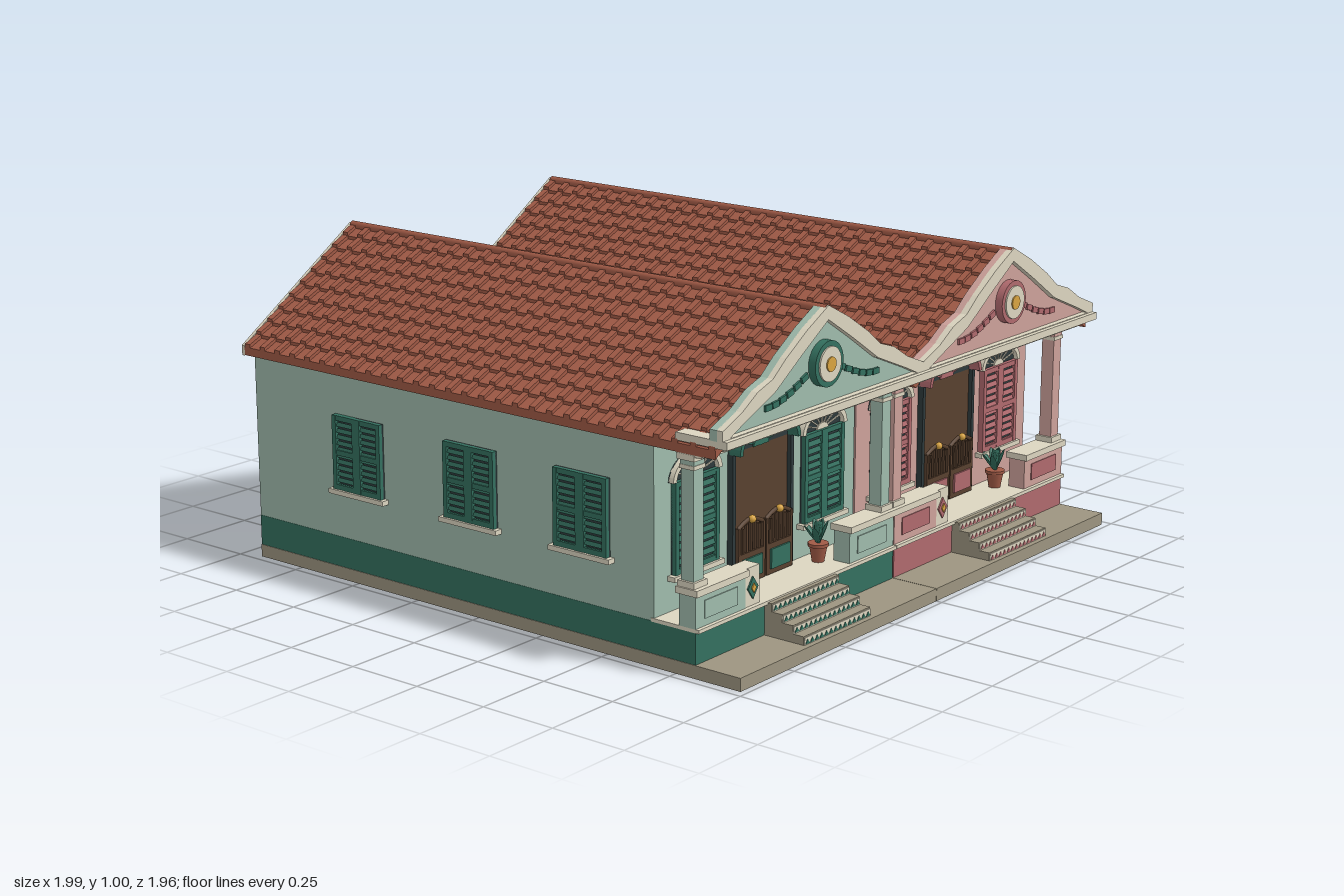
import * as THREE from 'three';

const mat = (name, color) => {
  const m = new THREE.MeshStandardMaterial({ color });
  m.name = name;
  return m;
};
const M = {
  cream: mat('cream trim', 0xdcd5c0), mint: mat('mint wall', 0x9fbbac), pink: mat('pink wall', 0xcda19a),
  green: mat('deep green', 0x34705f), rose: mat('rose', 0xb06a6e), tile: mat('terracotta', 0xa05a46),
  wood: mat('dark wood', 0x59412f), stone: mat('stone', 0x9d9580), gold: mat('gold', 0xd9a441), dark: mat('dark glass', 0x2e3a3c),
};

function add(parent, name, geometry, material, x = 0, y = 0, z = 0) {
  const m = new THREE.Mesh(geometry, material);
  m.name = name;
  m.position.set(x, y, z);
  parent.add(m);
  return m;
}
// box given by its ranges
function box(parent, name, material, x0, x1, y0, y1, z0, z1) {
  return add(parent, name, new THREE.BoxGeometry(x1 - x0, y1 - y0, z1 - z0), material,
    (x0 + x1) / 2, (y0 + y1) / 2, (z0 + z1) / 2);
}
function group(parent, name, x = 0, y = 0, z = 0) {
  const g = new THREE.Group();
  g.name = name;
  g.position.set(x, y, z);
  parent.add(g);
  return g;
}
const shapeOf = pts => new THREE.Shape(pts.map(p => new THREE.Vector2(p[0], p[1])));
const slab = (shape, depth, curveSegments = 16) =>
  new THREE.ExtrudeGeometry(shape, { depth, bevelEnabled: false, curveSegments });
// closed outline from a right-hand profile mirrored about x = 0
const mirrored = half => [...half, ...half.filter(p => p[0] > 0).reverse().map(p => [-p[0], p[1]])];
const disc = (parent, name, material, r, depth, x, y, z) => {
  const m = add(parent, name, new THREE.CylinderGeometry(r, r, depth, 28), material, x, y, z);
  m.rotation.x = Math.PI / 2;
  return m;
};

// half-elliptical fanlight with rim and radiating bars
function fanlight(parent, w, h, t, rimMat, barMat, x, y, z, depth) {
  const g = group(parent, 'fanlight', x, y, z);
  const half = (a, b) => {
    const s = new THREE.Shape();
    s.absellipse(0, 0, a, b, 0, Math.PI);
    s.closePath();
    return s;
  };
  add(g, 'fanlightGlass', slab(half(w, h), 0.005), M.dark);
  const rim = new THREE.Shape();
  rim.absellipse(0, 0, w, h, 0, Math.PI);
  rim.lineTo(-(w - t), 0);
  rim.absellipse(0, 0, w - t, h - t, Math.PI, 0, true);
  rim.closePath();
  add(g, 'fanlightRim', slab(rim, depth), rimMat);
  add(g, 'fanlightHub', slab(half(w * 0.25, h * 0.25), 0.01), barMat);
  for (let i = 1; i < 8; i++) {
    const a = Math.PI * i / 8, px = Math.cos(a) * (w - t), py = Math.sin(a) * (h - t);
    const bar = add(g, 'fanlightBar', new THREE.BoxGeometry(Math.hypot(px, py), 0.004, 0.009), barMat, px / 2, py / 2, 0.004);
    bar.rotation.z = Math.atan2(py, px);
  }
}

// pair of louvred shutters facing +z, standing on a sill
function shutters(parent, color, x, y0, y1, z, turn = 0) {
  const g = group(parent, 'shutterWindow', x, 0, z);
  g.rotation.y = turn;
  box(g, 'shutterBack', M.dark, -0.1, 0.1, y0, y1, -0.005, 0.006);
  box(g, 'sill', M.cream, -0.115, 0.115, y0 - 0.015, y0, -0.005, 0.026);
  for (const s of [-1, 1]) {
    const leaf = group(g, 'shutterLeaf', s * 0.05);
    for (const e of [-1, 1]) box(leaf, 'stile', color, e * 0.042 - 0.008, e * 0.042 + 0.008, y0, y1, 0, 0.019);
    for (const y of [y0, (y0 + y1) / 2 - 0.008, y1 - 0.016]) box(leaf, 'rail', color, -0.036, 0.036, y, y + 0.016, 0, 0.018);
    const n = 12, step = (y1 - y0) / n;
    for (let i = 0; i < n; i++) {
      const slat = add(leaf, 'slat', new THREE.BoxGeometry(0.07, step * 0.68, 0.004), color, 0, y0 + (i + 0.5) * step, 0.011);
      slat.rotation.x = -0.35;
    }
  }
}

// stepped tile courses: a half profile from ridge to eave
function tileProfile(lift, thick) {
  const n = 10, W = 0.487, top = 0.985, drop = 0.315, pts = [[0, top + lift]];
  for (let i = 1; i <= n; i++) {
    const x = W * i / n, y = top - drop * i / n + lift;
    pts.push([x, y + 0.008]);
    if (i < n) pts.push([x, y - 0.002]);
  }
  pts.push([W, top - drop - thick], [0, top - thick]);
  return shapeOf(pts);
}

function roof(house) {
  const g = group(house, 'roof');
  for (const s of [1, -1]) {
    const side = group(g, 'roofSlope');
    if (s < 0) side.rotation.y = Math.PI;
    // turning a slope around reverses z, so its start is flipped
    const place = (z0, z1) => (s > 0 ? z0 : -z1);
    add(side, 'tileBed', slab(tileProfile(0, 0.018), 1.86), M.tile, 0, 0, place(-0.97, 0.89));
    const rib = slab(tileProfile(0.011, 0.005), 0.022);
    for (let i = 0; i < 29; i++) {
      const z = -0.967 + i * 0.0655;
      add(side, 'tileRib', rib, M.tile, 0, 0, place(z, z + 0.022));
    }
    add(side, 'rakeTrim', slab(shapeOf([[0, 0.995], [0.487, 0.682], [0.487, 0.65], [0, 0.963]]), 0.012), M.cream, 0, 0, place(-0.982, -0.97));
  }
  const cap = add(g, 'ridgeCap', new THREE.CylinderGeometry(0.014, 0.014, 1.88, 10), M.tile, 0, 0.987, -0.03);
  cap.rotation.x = Math.PI / 2;
  add(g, 'gable', slab(shapeOf([[-0.484, 0.655], [0.484, 0.655], [0, 0.975]]), 1.795), M.tile, 0, 0, -0.935);
}

function pediment(house, wall, accent) {
  const g = group(house, 'pediment');
  const outer = mirrored([[0.487, 0.705], [0.487, 0.737], [0.4, 0.772], [0.33, 0.815], [0.26, 0.838], [0.2, 0.885], [0.1, 0.948], [0, 1]]);
  const inner = mirrored([[0.455, 0.71], [0.4, 0.735], [0.25, 0.797], [0.12, 0.883], [0, 0.958]]);
  add(g, 'pedimentPanel', slab(shapeOf(outer), 0.025), wall, 0, 0, 0.87);
  const border = shapeOf(outer);
  border.holes.push(new THREE.Path(inner.map(p => new THREE.Vector2(p[0], p[1]))));
  add(g, 'pedimentBorder', slab(border, 0.022), M.cream, 0, 0, 0.893);
  disc(g, 'medallionRing', accent, 0.068, 0.03, 0, 0.83, 0.905);
  disc(g, 'medallionDisc', M.cream, 0.052, 0.03, 0, 0.83, 0.91);
  disc(g, 'medallionCentre', M.gold, 0.022, 0.03, 0, 0.83, 0.914);
  // leafy garland on either side
  for (const s of [-1, 1]) for (let i = 0; i < 6; i++) {
    const t = i / 5, leaf = box(g, 'garlandLeaf', accent, -0.015, 0.015, -0.009, 0.009, 0.893, 0.902);
    leaf.position.x = s * (0.09 + 0.17 * t);
    leaf.position.y = 0.803 - 0.05 * Math.sin(t * Math.PI / 2);
    leaf.rotation.z = -s * 0.4 * (1 - t);
  }
  // cornice bands
  box(g, 'cornice', M.cream, -0.487, 0.487, 0.685, 0.708, 0.75, 0.93);
  box(g, 'tileBand', M.tile, -0.48, 0.48, 0.662, 0.685, 0.75, 0.875);
  box(g, 'architrave', M.cream, -0.485, 0.485, 0.645, 0.662, 0.752, 0.84);
  for (let i = 0; i < 32; i++) {
    const x = -0.465 + i * 0.03;
    box(g, 'dentil', M.cream, x - 0.007, x + 0.007, 0.664, 0.674, 0.87, 0.885);
  }
  box(g, 'porchCeiling', M.cream, -0.484, 0.484, 0.655, 0.668, 0.66, 0.87);
}

function door(house, accent) {
  const g = group(house, 'frontDoor');
  box(g, 'doorway', M.wood, -0.14, 0.14, 0.14, 0.55, 0.66, 0.676);
  for (const s of [-1, 1]) box(g, 'doorJamb', M.dark, s * 0.14 - 0.007, s * 0.14 + 0.007, 0.14, 0.55, 0.66, 0.69);
  fanlight(g, 0.147, 0.095, 0.014, accent, accent, 0, 0.55, 0.671, 0.045);
  for (const s of [-1, 1]) {
    const leaf = group(g, 'swingGate', s * 0.067);
    box(leaf, 'gatePanel', M.wood, -0.064, 0.064, 0.15, 0.245, 0.685, 0.7);
    box(leaf, 'gateInset', accent, -0.046, 0.046, 0.167, 0.228, 0.7, 0.706);
    for (const e of [-1, 1]) box(leaf, 'gateStile', M.wood, e * 0.059 - 0.005, e * 0.059 + 0.005, 0.245, 0.325, 0.685, 0.7);
    for (let i = -2; i <= 2; i++) box(leaf, 'gateBaluster', M.wood, i * 0.02 - 0.004, i * 0.02 + 0.004, 0.245, 0.336 - 0.004 * i * i, 0.688, 0.698);
    const arch = new THREE.CatmullRomCurve3([[-0.06, 0.322], [-0.03, 0.336], [0, 0.343], [0.03, 0.336], [0.06, 0.322]]
      .map(p => new THREE.Vector3(p[0], p[1], 0.693)));
    add(leaf, 'gateTopRail', new THREE.TubeGeometry(arch, 12, 0.007, 6), M.wood);
    add(leaf, 'gateKnob', new THREE.SphereGeometry(0.012, 12, 8), M.gold, 0, 0.343, 0.7);
  }
}

function porch(house, wall, accent) {
  const g = group(house, 'porch');
  box(g, 'porchFloor', M.cream, -0.485, 0.485, 0.135, 0.146, 0.66, 0.832);
  for (const s of [-1, 1]) {
    const a = s * 0.37;
    box(g, 'lowWall', wall, a - 0.115, a + 0.115, 0.146, 0.242, 0.762, 0.82);
    box(g, 'lowWallInset', accent === M.green ? M.mint : M.rose, a - 0.075, a + 0.075, 0.168, 0.222, 0.82, 0.823);
    box(g, 'coping', M.cream, a - 0.12, a + 0.12, 0.242, 0.262, 0.752, 0.83);
    const c = group(g, 'column', s * 0.455, 0, 0.785);
    for (const [name, w, y0, y1, m] of [['columnBase', 0.03, 0.262, 0.28, M.cream], ['columnShaft', 0.022, 0.28, 0.605, wall],
      ['columnNeck', 0.026, 0.605, 0.617, M.cream], ['columnBlock', 0.024, 0.617, 0.632, wall], ['columnCapital', 0.031, 0.632, 0.65, M.cream]])
      box(c, name, m, -w, w, y0, y1, -w, w);
  }
  // decorated tile panel at the end of the left low wall
  box(g, 'tilePanel', M.cream, -0.26, -0.187, 0.146, 0.262, 0.765, 0.818);
  for (const [name, m, r, z] of [['tileDiamond', accent, 0.024, 0.818], ['tileHeart', M.gold, 0.01, 0.822]])
    add(g, name, slab(shapeOf([[-r, 0], [0, -r * 1.4], [r, 0], [0, r * 1.4]]), 0.005), m, -0.222, 0.2, z);
  // entrance steps with tiled risers
  const tri = slab(shapeOf([[-0.01, -0.007], [0.01, -0.007], [0, 0.007]]), 0.003);
  for (let i = 0; i < 4; i++) {
    const y1 = 0.066 + 0.025 * i, z1 = 0.96 - 0.038 * i, y0 = i ? y1 - 0.025 : 0.037;
    box(g, 'step', M.stone, -0.165, 0.165, y0, y1, 0.81, z1);
    box(g, 'stepRiser', M.cream, -0.163, 0.163, y0, y1 - 0.004, z1, z1 + 0.003);
    for (let k = 0; k < 14; k++) add(g, 'riserTile', tri, accent, -0.15 + k * 0.0231, (y0 + y1) / 2 - 0.002, z1 + 0.002);
  }
  // potted plant
  const p = group(g, 'pottedPlant', 0.22, 0.146, 0.73);
  add(p, 'pot', new THREE.CylinderGeometry(0.028, 0.019, 0.05, 14), M.tile, 0, 0.025, 0);
  add(p, 'potRim', new THREE.CylinderGeometry(0.032, 0.032, 0.01, 14), M.tile, 0, 0.053, 0);
  for (let i = 0; i < 10; i++) {
    const stem = group(p, 'leafStem', 0, 0.055, 0);
    stem.rotation.set(0, i * 2.4, 0.15 + (i % 3) * 0.25);
    const leaf = add(stem, 'leaf', new THREE.SphereGeometry(1, 8, 6), M.green, 0, 0.037, 0);
    leaf.scale.set(0.004, 0.04, 0.011);
  }
}

function backDoor(house) {
  const g = group(house, 'backDoor', 0, 0, -0.93);
  g.rotation.y = Math.PI;
  box(g, 'backDoorFrame', M.wood, -0.1, 0.1, 0.14, 0.54, -0.005, 0.014);
  for (const s of [-1, 1]) {
    box(g, 'backDoorJamb', M.dark, s * 0.095 - 0.009, s * 0.095 + 0.009, 0.14, 0.54, 0, 0.026);
    for (const [y0, y1] of [[0.16, 0.31], [0.36, 0.515]])
      box(g, 'backDoorPanel', M.rose, s * 0.043 - 0.032, s * 0.043 + 0.032, y0, y1, 0.01, 0.02);
  }
  box(g, 'backDoorLintel', M.dark, -0.104, 0.104, 0.53, 0.545, 0, 0.026);
  add(g, 'backDoorKnob', new THREE.SphereGeometry(0.009, 10, 8), M.gold, 0.012, 0.335, 0.022);
}

function house(root, side, wall, accent, windowZs) {
  const g = group(root, side < 0 ? 'greenHouse' : 'pinkHouse', side * 0.487);
  box(g, 'foundation', M.stone, -0.486, 0.486, 0, 0.04, -0.93, 0.98);
  box(g, 'plinth', accent, -0.484, 0.484, 0.04, 0.137, -0.93, 0.82);
  box(g, 'walls', wall, -0.483, 0.483, 0.137, 0.668, -0.93, 0.67);
  roof(g);
  pediment(g, wall, accent);
  porch(g, wall, accent);
  door(g, accent);
  for (const s of [-1, 1]) {
    shutters(g, accent, s * 0.307, 0.255, 0.53, 0.67);
    fanlight(g, 0.112, 0.075, 0.016, M.cream, M.cream, s * 0.307, 0.53, 0.669, 0.02);
  }
  for (const z of windowZs) shutters(g, accent, side * 0.483, 0.295, 0.53, z, side * Math.PI / 2);
  shutters(g, accent, 0.307, 0.295, 0.53, -0.93, Math.PI);
  backDoor(g);
}

export function createModel() {
  const root = new THREE.Group();
  root.name = 'twinHouses';
  house(root, -1, M.mint, M.green, [-0.48, -0.02, 0.41]);
  house(root, 1, M.pink, M.rose, [-0.575, -0.145, 0.315]);
  return root;
}
